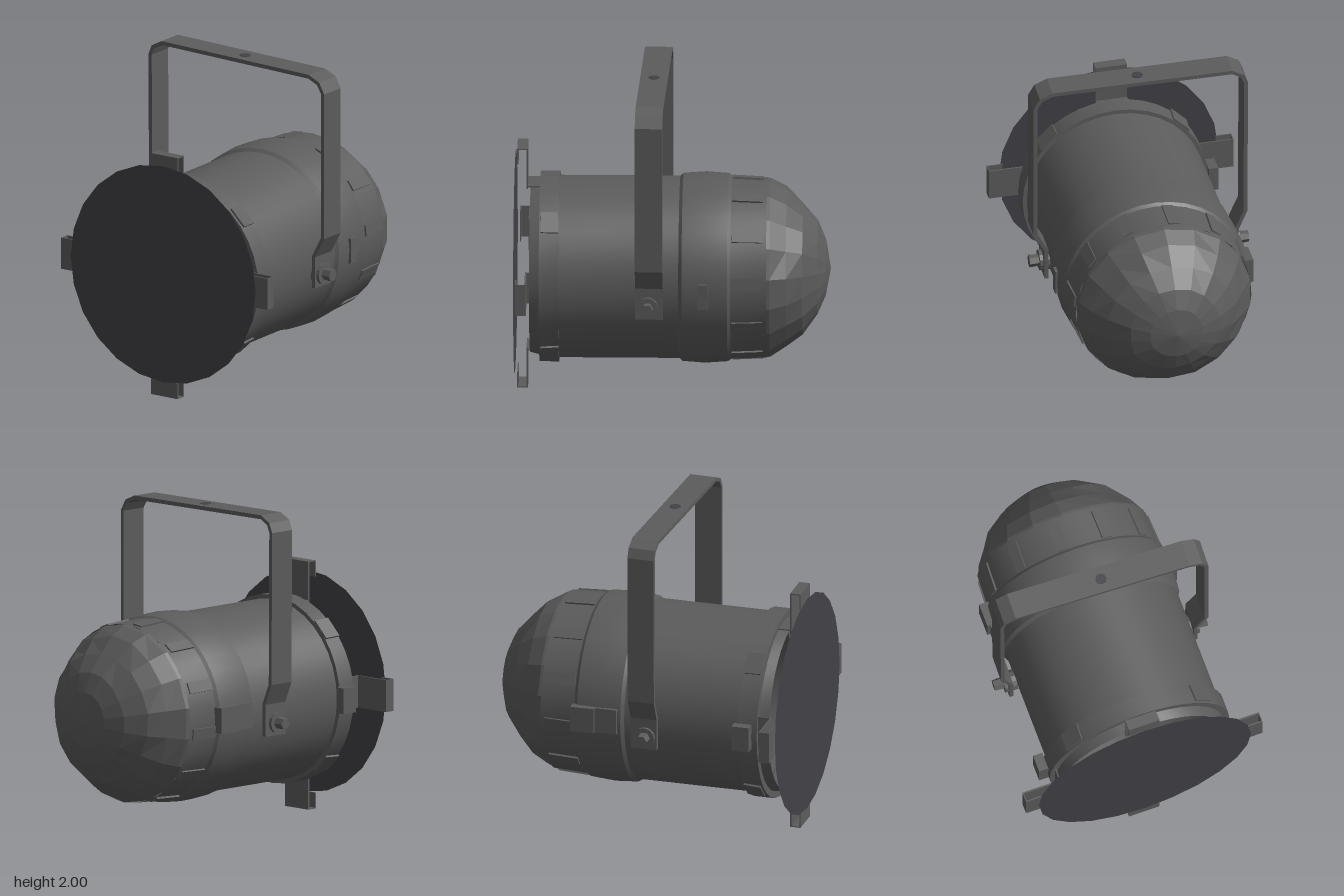
import * as THREE from 'three';
import { toCreasedNormals } from 'three/addons/utils/BufferGeometryUtils.js';

const metal = new THREE.MeshStandardMaterial({ color: 0x5c5c5c, side: THREE.DoubleSide });
const faceted = new THREE.MeshStandardMaterial({ color: 0x5c5c5c, side: THREE.DoubleSide, flatShading: true });
const dark = new THREE.MeshStandardMaterial({ color: 0x424247, side: THREE.DoubleSide });
const AXIS = new THREE.Vector3(0.02, 0.765, 0); // centre line of the can

export function createModel() {
  const model = new THREE.Group();

  const add = (name, geo, mat = metal, parent = model) => {
    const m = new THREE.Mesh(geo, mat);
    m.name = name;
    parent.add(m);
    return m;
  };
  const box = (name, w, h, d, x, y, z, parent = model) => {
    const m = add(name, new THREE.BoxGeometry(w, h, d), metal, parent);
    m.position.set(x, y, z);
    return m;
  };
  // Profile of [z, radius] turned round the z axis
  const turned = (profile, segments) =>
    new THREE.LatheGeometry(profile.map(([z, r]) => new THREE.Vector2(r, z)), segments).rotateX(Math.PI / 2);

  const can = new THREE.Group();
  can.name = 'can';
  can.position.copy(AXIS);
  model.add(can);

  // Can: rear collar, rear tube, step, main tube, front collar and lip
  add('canBody', toCreasedNormals(turned([
    [-0.58, 0.555], [-0.36, 0.565], [-0.34, 0.58], [-0.2, 0.59], [-0.06, 0.58], [-0.04, 0.562],
    [0.7, 0.562], [0.7, 0.588], [0.82, 0.588], [0.82, 0.545], [0.88, 0.53],
  ], 36), 0.5), metal, can);

  // Rear dome with a slightly uneven, faceted surface
  const dome = turned([
    [-0.97, 0], [-0.94, 0.17], [-0.89, 0.29], [-0.8, 0.405], [-0.7, 0.49], [-0.6, 0.55], [-0.57, 0.555],
  ], 18);
  const p = dome.attributes.position;
  for (let i = 0; i < p.count; i++) {
    const a = Math.round(Math.atan2(p.getY(i), p.getX(i)) * 9 / Math.PI + 18) % 18;
    const r = Math.hypot(p.getX(i), p.getY(i));
    const k = 1 + 0.025 * Math.sin(a * 5.3 + r * 40) * (r < 0.52 ? 1 : 0);
    p.setXY(i, p.getX(i) * k, p.getY(i) * k);
  }
  add('rearDome', dome, faceted, can);

  // Small plates round the can: rear louvres and front clamp tabs
  const plates = (name, count, radius, w, len, z, tilt, phase) => {
    for (let i = 0; i < count; i++) {
      const pivot = new THREE.Group();
      pivot.name = name;
      pivot.rotation.z = phase + i * Math.PI * 2 / count;
      can.add(pivot);
      box(name + 'Plate', 0.012, w, len, radius, 0, z, pivot).rotation.y = tilt;
    }
  };
  plates('rearLouvre', 12, 0.563, 0.07, 0.19, -0.46, 0.05, 0.13);
  plates('frontTab', 4, 0.594, 0.14, 0.11, 0.755, 0.06, Math.PI / 4);
  const hinge = (x, z, len) => box('sideHinge', 0.06, 0.16, len, x, 0, z, can);
  hinge(-0.59, -0.295, 0.15);
  hinge(-0.57, -0.15, 0.14);
  hinge(-0.615, 0.73, 0.11);
  hinge(0.57, -0.19, 0.06);

  // Flat front disc
  add('frontDisc', new THREE.CircleGeometry(0.695, 24), dark).position.set(0, 0.79, 0.975);

  // Four channel clips holding the disc
  for (let i = 0; i < 4; i++) {
    const clip = new THREE.Group();
    clip.name = 'discClip';
    clip.position.set(0, i % 2 ? 0.79 : 0.775, 0);
    clip.rotation.z = i * Math.PI / 2;
    model.add(clip);
    box('clipBack', 0.2, 0.26, 0.01, 0, 0.645, 0.9, clip);
    box('clipEnd', 0.2, 0.006, 0.06, 0, 0.772, 0.93, clip);
    box('clipLip', 0.2, 0.1, 0.008, 0, 0.725, 0.958, clip);
    box('clipFoot', 0.2, 0.008, 0.09, 0, 0.53, 0.86, clip);
  }

  // Yoke: a bent flat strip, jogged inwards at both feet
  const path = [
    [-0.6, 0.62], [-0.6, 0.82], [-0.655, 0.95], [-0.66, 1.9], [-0.635, 1.96], [-0.56, 2],
    [0.57, 1.985], [0.65, 1.95], [0.69, 1.88], [0.69, 0.95], [0.62, 0.82], [0.62, 0.62],
  ].map(([x, y]) => new THREE.Vector2(x, y));
  const inner = path.map((q, i) => {
    const a = path[Math.max(i - 1, 0)], b = path[Math.min(i + 1, path.length - 1)];
    const t = b.clone().sub(a).normalize();
    return new THREE.Vector2(q.x + t.y * 0.025, q.y - t.x * 0.025);
  });
  const strip = new THREE.ExtrudeGeometry(new THREE.Shape([...path, ...inner.reverse()]),
    { depth: 0.17, bevelEnabled: false }).translate(0, 0, -0.085);
  const yoke = new THREE.Group();
  yoke.name = 'yoke';
  yoke.position.z = 0.12;
  yoke.rotation.y = -0.03;
  model.add(yoke);
  add('yokeStrip', strip, metal, yoke);

  // Hanging bolt on top
  const bolt = add('hangingBolt', new THREE.CylinderGeometry(0.035, 0.035, 0.03, 12), dark, yoke);
  bolt.position.set(0.02, 1.98, 0);

  // Pivot knobs joining yoke and can
  for (const s of [-1, 1]) {
    const x = 0.01 + s * 0.61;
    const disc = add('pivotWasher', new THREE.CylinderGeometry(0.065, 0.065, 0.08, 12).rotateZ(Math.PI / 2), faceted, yoke);
    disc.position.set(x - s * 0.02, 0.7, 0.01);
    const nut = add('pivotNut', new THREE.CylinderGeometry(0.035, 0.04, 0.07, 6).rotateZ(Math.PI / 2), faceted, yoke);
    nut.position.set(x + s * 0.045, 0.7, 0.01);
  }

  return model;
}
